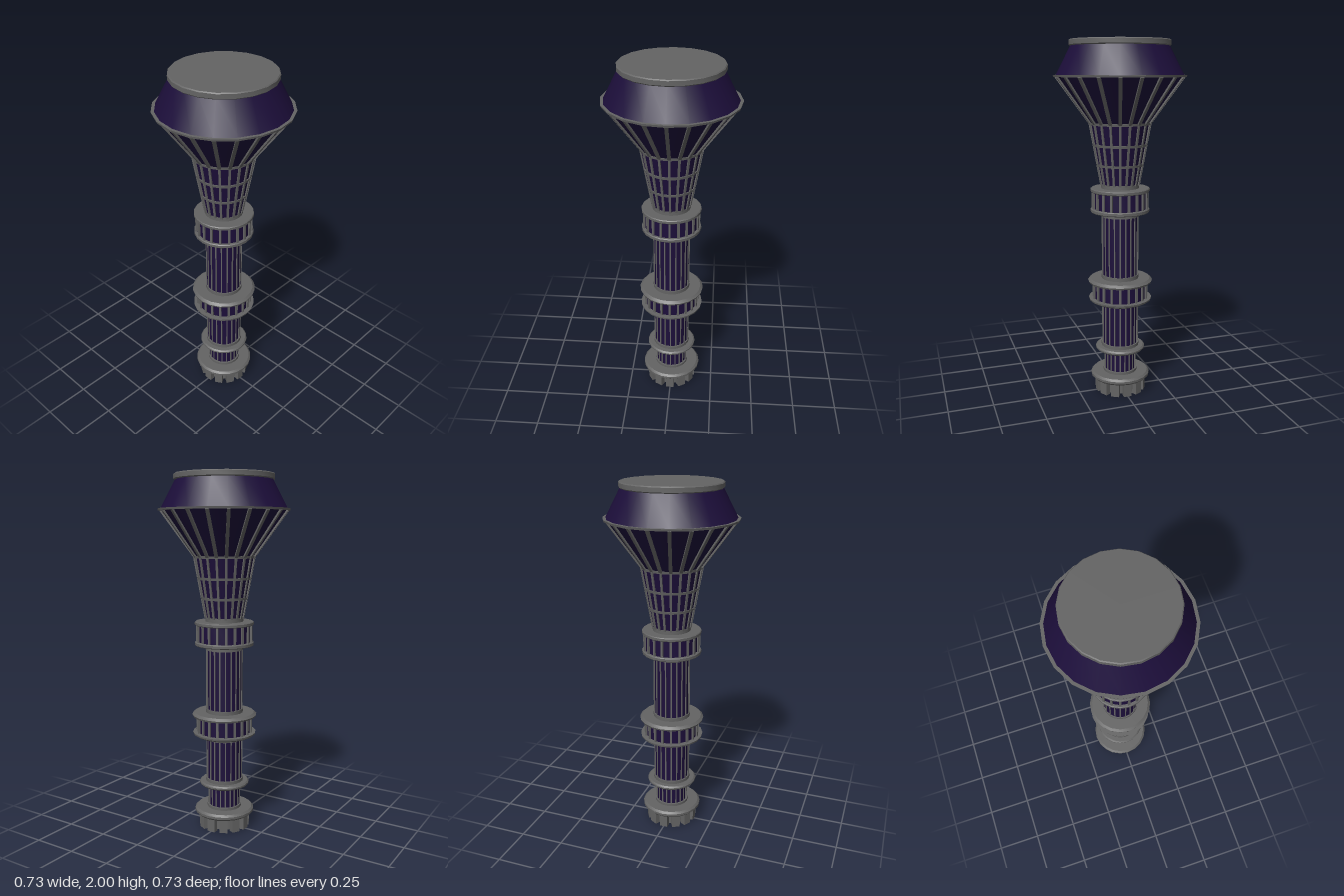
import * as THREE from 'three';
import { toCreasedNormals } from 'three/addons/utils/BufferGeometryUtils.js';

const SIDES = 20;
const metal = new THREE.MeshStandardMaterial({ color: 0x646464 });
const violet = new THREE.MeshStandardMaterial({ color: 0x1c0e3a });

export function createModel() {
  const model = new THREE.Group();

  // Turned part from a [radius, y] outline, listed bottom to top
  function turned(name, outline, material = metal) {
    const points = outline.map(([r, y]) => new THREE.Vector2(r, y));
    const geometry = toCreasedNormals(new THREE.LatheGeometry(points, SIDES), 0.5);
    const mesh = new THREE.Mesh(geometry, material);
    mesh.name = name;
    model.add(mesh);
  }

  // Solid drum or truncated cone with caps
  function drum(name, r0, y0, r1, y1, material = metal) {
    turned(name, [[0, y0], [r0, y0], [r1, y1], [0, y1]], material);
  }

  // Bars standing around the axis, following the slope (r0, y0) to (r1, y1)
  function bars(name, count, r0, y0, r1, y1, width, depth) {
    const group = new THREE.Group();
    group.name = name;
    const geometry = new THREE.BoxGeometry(width, Math.hypot(r1 - r0, y1 - y0), depth);
    for (let i = 0; i < count; i++) {
      const arm = new THREE.Group();
      arm.rotation.y = (i / count) * Math.PI * 2;
      const bar = new THREE.Mesh(geometry, metal);
      bar.name = name + 'Bar';
      bar.position.set(0, (y0 + y1) / 2, (r0 + r1) / 2);
      bar.rotation.x = Math.atan2(r1 - r0, y1 - y0);
      arm.add(bar);
      group.add(arm);
    }
    model.add(group);
  }

  // Flange with softened rim
  function flange(name, r, y0, y1, bevel = 0.008) {
    turned(name, [[0, y0], [r - bevel, y0], [r, y0 + bevel], [r, y1 - bevel],
      [r - bevel, y1], [0, y1]]);
  }

  // Hollow foot with a ring of teeth
  turned('footRing', [[0, 0.06], [0.095, 0.06], [0.095, 0.01], [0.118, 0.01], [0.118, 0.09]]);
  bars('footTeeth', 12, 0.127, 0, 0.127, 0.085, 0.046, 0.034);
  flange('footFlange', 0.17, 0.08, 0.115, 0.011);
  drum('footCollar', 0.098, 0.115, 0.098, 0.13);

  // Ribbed shaft sections
  [['lowerShaft', 0.088, 0.12, 0.25], ['middleShaft', 0.1, 0.28, 0.53], ['upperShaft', 0.1, 0.69, 1.05]]
    .forEach(([name, r, y0, y1]) => {
      drum(name, r, y0, r, y1, violet);
      bars(name + 'Ribs', SIDES, r, y0, r, y1, 0.007, 0.008);
    });

  // Knuckle between the lower and middle shafts
  drum('knuckleUnderside', 0.1, 0.24, 0.12, 0.252);
  flange('knuckleFlange', 0.142, 0.25, 0.274);
  drum('knuckleCollar', 0.108, 0.274, 0.108, 0.292);

  // Lower gallery: dished flanges above and below a barred band
  drum('lowerGalleryBottomCollar', 0.106, 0.522, 0.106, 0.547);
  turned('lowerGalleryBottomFlange',
    [[0, 0.544], [0.16, 0.544], [0.178, 0.555], [0.18, 0.565], [0, 0.565]]);
  drum('lowerGalleryBand', 0.15, 0.563, 0.15, 0.66, violet);
  bars('lowerGalleryBars', SIDES, 0.152, 0.563, 0.152, 0.66, 0.012, 0.014);
  turned('lowerGalleryTopFlange',
    [[0, 0.658], [0.18, 0.658], [0.184, 0.668], [0.17, 0.681], [0, 0.681]]);
  drum('lowerGalleryTopCollar', 0.106, 0.68, 0.106, 0.702);

  // Upper gallery
  drum('upperGalleryBottomCollar', 0.106, 1.04, 0.106, 1.067);
  flange('upperGalleryBottomFlange', 0.166, 1.065, 1.087, 0.004);
  drum('upperGalleryBand', 0.15, 1.085, 0.15, 1.182, violet);
  bars('upperGalleryBars', SIDES, 0.152, 1.085, 0.152, 1.182, 0.012, 0.014);
  flange('upperGalleryTopFlange', 0.166, 1.18, 1.201, 0.004);
  drum('upperGalleryTopCollar', 0.106, 1.2, 0.106, 1.23);

  // Flaring neck with ribs and hoops
  drum('neck', 0.105, 1.22, 0.166, 1.56, violet);
  bars('neckRibs', SIDES, 0.105, 1.22, 0.167, 1.56, 0.012, 0.012);
  [[1.33, 0.125], [1.44, 0.145], [1.557, 0.166]].forEach(([y, r], i) =>
    drum('neckHoop' + (i + 1), r + 0.004, y - 0.007, r + 0.007, y + 0.007));

  // Wide bowl, rim and sloping crown
  drum('bowl', 0.166, 1.56, 0.345, 1.808, violet);
  bars('bowlRibs', SIDES, 0.167, 1.56, 0.346, 1.806, 0.018, 0.014);
  drum('bowlRim', 0.36, 1.804, 0.363, 1.815);
  drum('crown', 0.347, 1.814, 0.265, 1.97, violet);
  flange('roofCap', 0.275, 1.967, 2, 0.005);

  return model;
}
